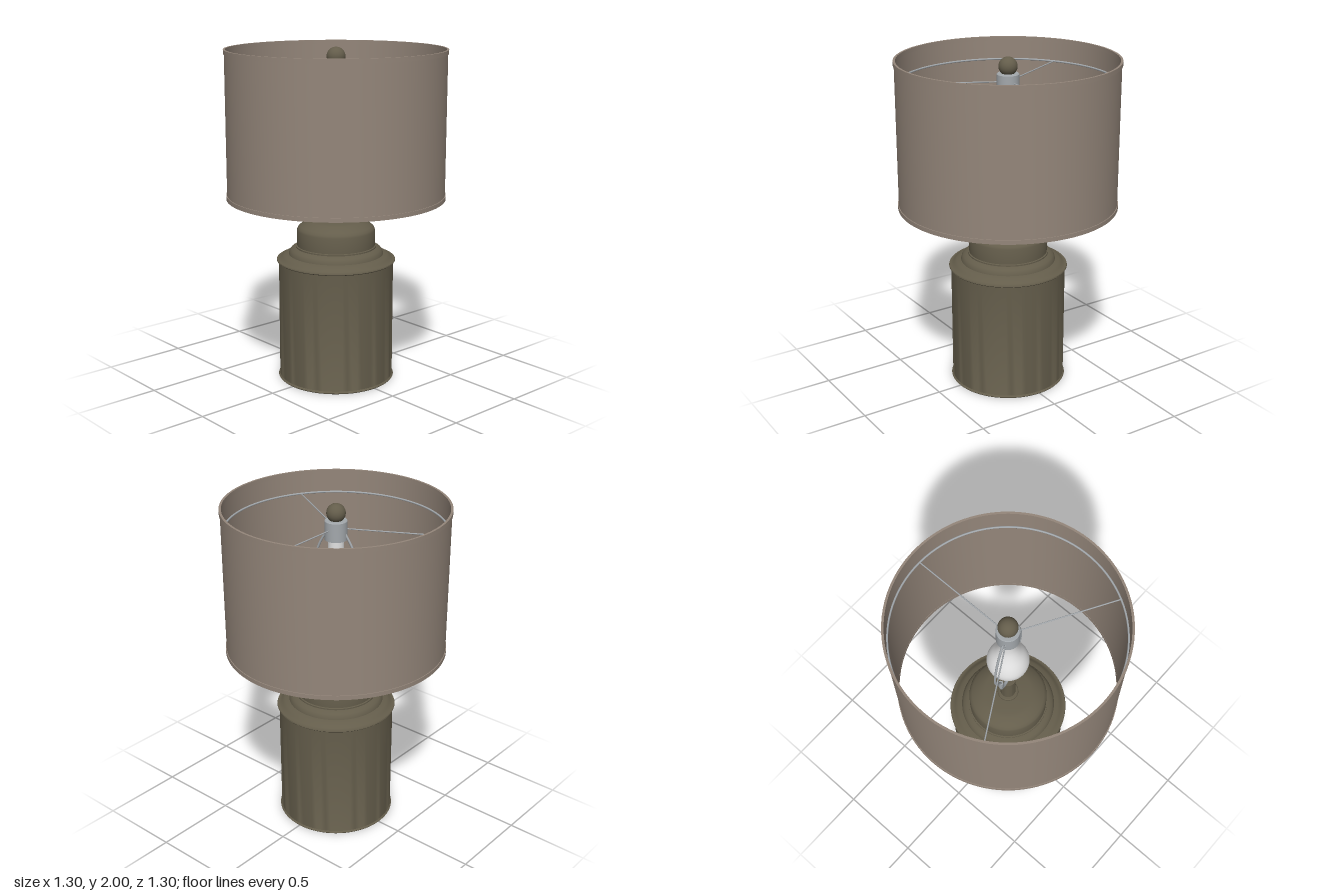
import * as THREE from 'three';
import { toCreasedNormals } from 'three/addons/utils/BufferGeometryUtils.js';

const mat = (name, color) => new THREE.MeshStandardMaterial({ name, color });

export function createModel() {
  const olive = mat('olive ceramic', 0x645d4b);
  const taupe = mat('taupe fabric', 0x94867a);
  const chrome = mat('chrome', 0xa3a8ac);
  const glass = mat('bulb glass', 0xe2e2e2);
  const lamp = new THREE.Group();
  lamp.name = 'tableLamp';

  function add(name, geometry, material, parent = lamp) {
    const mesh = new THREE.Mesh(geometry, material);
    mesh.name = name;
    parent.add(mesh);
    return mesh;
  }
  // Profiles run bottom to top on the outside: [radius, height]
  function lathe(points, segments = 72) {
    const profile = points.map(([r, y]) => new THREE.Vector2(r, y));
    return toCreasedNormals(new THREE.LatheGeometry(profile, segments), 0.6);
  }
  function wire(points, radius, segments = 40) {
    const curve = new THREE.CatmullRomCurve3(points.map(p => new THREE.Vector3(...p)));
    return new THREE.TubeGeometry(curve, segments, radius, 8);
  }

  // Canister base with rolled rims and a stepped shoulder
  add('base', lathe([
    [0, 0], [0.348, 0], [0.352, 0.005], [0.348, 0.011], [0.344, 0.014],
    [0.344, 0.725], [0.352, 0.727], [0.357, 0.732], [0.355, 0.738], [0.345, 0.739],
    [0.335, 0.742], [0.325, 0.754], [0.308, 0.764], [0.284, 0.77],
    [0.28, 0.785], [0.27, 0.798], [0.255, 0.807], [0.242, 0.812], [0.242, 0.82], [0.234, 0.822],
    [0.234, 0.915], [0.229, 0.928], [0.216, 0.941], [0.19, 0.955],
    [0.165, 0.968], [0.14, 0.974], [0, 0.976],
  ]), olive);

  // Neck with its foot collar
  add('neck', lathe([
    [0.062, 0.97], [0.062, 0.988], [0.057, 0.994], [0.045, 0.995], [0.045, 1.185], [0, 1.185],
  ], 40), olive);

  // Drum shade, a thin closed wall
  add('shade', lathe([
    [0.645, 1.117], [0.645, 1.988], [0.638, 1.988], [0.638, 1.117], [0.645, 1.117],
  ], 96), taupe);
  for (const [name, y] of [['bottomTrim', 1.115], ['topTrim', 1.965]]) {
    add(name, lathe([
      [0.637, y], [0.65, y], [0.65, y + 0.025], [0.637, y + 0.025], [0.637, y],
    ], 96), taupe);
  }

  // Spider: ring and three arms
  const spider = new THREE.Group();
  spider.name = 'spider';
  lamp.add(spider);
  const ring = add('spiderRing', new THREE.TorusGeometry(0.634, 0.006, 8, 96), chrome, spider);
  ring.rotation.x = Math.PI / 2;
  ring.position.y = 1.85;
  for (let i = 0; i < 3; i++) {
    const a = i * Math.PI * 2 / 3;
    add('spiderArm', wire([
      [0.05 * Math.cos(a), 1.855, 0.05 * Math.sin(a)],
      [0.636 * Math.cos(a), 1.85, 0.636 * Math.sin(a)],
    ], 0.004, 2), chrome, spider);
  }

  // Socket and finial
  add('socket', lathe([
    [0, 1.79], [0.065, 1.79], [0.065, 1.9], [0.061, 1.905], [0, 1.905],
  ], 40), chrome);
  add('finial', new THREE.SphereGeometry(0.055, 32, 20), olive).position.y = 1.945;

  // Bulb hanging down from the socket
  const bulbProfile = new THREE.SplineCurve([
    [0, 1.37], [0.06, 1.386], [0.104, 1.43], [0.12, 1.49], [0.104, 1.555],
    [0.068, 1.63], [0.048, 1.7], [0.046, 1.8],
  ].map(p => new THREE.Vector2(...p))).getPoints(28);
  bulbProfile[0].x = 0;
  add('bulb', new THREE.LatheGeometry(bulbProfile, 48), glass);

  // Harp wires, clips and saddle, turned slightly about the axis
  const harp = new THREE.Group();
  harp.name = 'harp';
  harp.rotation.y = Math.atan2(0.25, 0.97) - Math.PI / 2;
  harp.rotation.y = -Math.atan2(0.97, 0.25);
  lamp.add(harp);
  for (const s of [-1, 1]) {
    add('harpWire', wire([
      [s * 0.055, 1.835, 0], [s * 0.105, 1.745, 0], [s * 0.145, 1.62, 0],
      [s * 0.157, 1.51, 0], [s * 0.135, 1.415, 0], [s * 0.095, 1.345, 0], [s * 0.09, 1.3, 0],
    ], 0.007), chrome, harp);
    add('harpClip', new THREE.CylinderGeometry(0.014, 0.014, 0.045, 16), chrome, harp)
      .position.set(s * 0.09, 1.31, 0);
  }
  add('harpSaddle', wire([
    [-0.09, 1.3, 0], [-0.084, 1.24, 0], [-0.05, 1.2, 0], [0, 1.19, 0],
    [0.05, 1.2, 0], [0.084, 1.24, 0], [0.09, 1.3, 0],
  ], 0.01), chrome, harp);

  return lamp;
}
